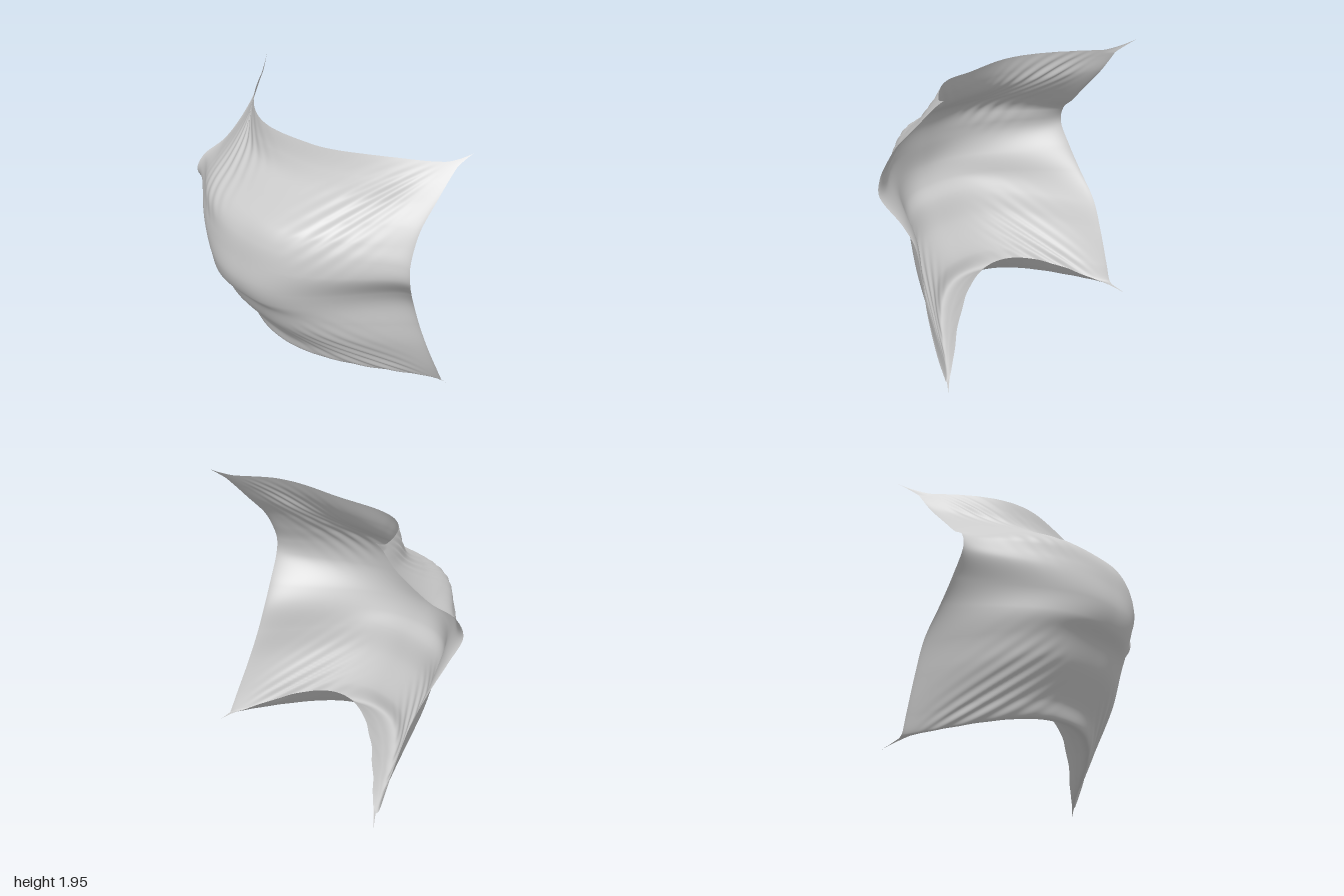
import * as THREE from 'three';

const { smoothstep, clamp, lerp } = THREE.MathUtils;

// Rows of the sheet from lower hem to upper hem:
// centre y, z | right edge x, y, z (-x side) | left edge x, y, z (+x side)
const ROWS = [
  [0.44, -0.09, -0.89, 0.08, -0.5, 0.925, 0.055, -0.52],
  [0.33, 0.05, -0.9, 0.085, -0.485, 0.93, 0.06, -0.51],
  [0.27, 0.18, -0.9, 0.1, -0.47, 0.93, 0.08, -0.5],
  [0.38, 0.22, -0.91, 0.22, -0.43, 0.93, 0.21, -0.44],
  [0.6, 0.37, -0.93, 0.46, -0.35, 0.91, 0.46, -0.34],
  [0.77, 0.45, -0.95, 0.68, -0.26, 0.885, 0.68, -0.27],
  [0.87, 0.53, -0.96, 0.88, -0.12, 0.875, 0.88, -0.21],
  [1.0, 0.57, -0.98, 1.04, 0.0, 0.91, 1.02, -0.14],
  [1.17, 0.55, -1.0, 1.2, 0.1, 0.995, 1.22, -0.02],
  [1.33, 0.51, -0.97, 1.32, 0.06, 0.985, 1.33, -0.02],
  [1.43, 0.44, -0.9, 1.43, -0.08, 0.965, 1.45, -0.07],
  [1.52, 0.28, -0.87, 1.55, -0.2, 0.95, 1.56, -0.14],
  [1.62, 0.12, -0.87, 1.7, -0.34, 0.94, 1.7, -0.28],
  [1.72, 0.05, -0.88, 1.81, -0.42, 0.935, 1.82, -0.4],
  [1.845, 0.0, -0.885, 1.87, -0.46, 0.935, 1.905, -0.49],
];

const curveOf = (pick) => new THREE.CatmullRomCurve3(ROWS.map((r) => new THREE.Vector3(...pick(r))));
const centre = curveOf((r) => [0, r[0], r[1]]);
const rightEdge = curveOf((r) => [r[2], r[3], r[4]]);
const leftEdge = curveOf((r) => [r[5], r[6], r[7]]);

// Tension folds running from the corners towards the belly
function folds(u, y) {
  const a = 1 - Math.abs(u); // distance from the side edge
  const b = Math.min(y, 1.95 - y); // distance from the nearer hem
  const r = Math.hypot(a, b);
  const angle = Math.atan2(b, a);
  const reach = smoothstep(r, 0.1, 0.4) * (1 - smoothstep(r, 0.55, 1.0));
  const fan = Math.exp(-(((angle - 0.75) / 0.3) ** 2));
  return 0.006 * reach * fan * Math.sin((a - b) * 40 - angle * 16 + u);
}

// How far a point at u across the sheet follows the centre line
function bulge(u, t) {
  const side = smoothstep(u, -0.3, 0.3);
  const belly = smoothstep(t, 0.35, 0.5) * (1 - smoothstep(t, 0.6, 0.72));
  const full = smoothstep(t, 0.1, 0.3);
  const q = lerp(2, lerp(3 - 0.6 * belly, 2.4, side), full);
  const eRight = 1.25 + 0.35 * belly - 0.2 * smoothstep(t, 0.8, 0.95);
  const eLeft = 1.3 + 0.35 * smoothstep(t, 0.3, 0.5) - 0.6 * smoothstep(t, 0.68, 0.92);
  return Math.pow(1 - Math.abs(u) ** q, lerp(eRight, eLeft, side));
}

function sheetPoint(u, t) {
  const l = rightEdge.getPoint(t);
  const r = leftEdge.getPoint(t);
  const c = centre.getPoint(t);
  const mid = l.clone().add(r).multiplyScalar(0.5);
  const p = l.lerp(r, (u + 1) / 2).addScaledVector(c.sub(mid), bulge(u, t));
  // slight sway and lift along the upper hem
  const top = smoothstep(t, 0.75, 1);
  p.z -= 0.05 * top * Math.sin(u * Math.PI) * (1 - u * u);
  p.y += 0.03 * top * smoothstep(u, 0.1, 0.6) * (1 - smoothstep(u, 0.65, 1));
  const f = folds(u, p.y);
  p.y += f * 0.5 * (p.y > 1 ? 1 : -1);
  p.z += f;
  // pinched corners drawn out into thin points
  const spike = smoothstep(Math.abs(u), 0.92, 1) * smoothstep(Math.abs(2 * t - 1), 0.93, 1);
  return p.lerp(new THREE.Vector3(Math.sign(u) * 0.97, t > 0.5 ? 1.95 : 0, -0.57), spike ** 2);
}

export function createModel() {
  const group = new THREE.Group();
  group.name = 'billowingCloth';

  // A flat grid draped over the cross-sections
  const geometry = new THREE.PlaneGeometry(2, 1, 220, 220);
  const pos = geometry.attributes.position;
  for (let i = 0; i < pos.count; i++) {
    const p = sheetPoint(clamp(pos.getX(i), -1, 1), clamp(pos.getY(i) + 0.5, 0, 1));
    pos.setXYZ(i, p.x, p.y, p.z);
  }
  geometry.computeVertexNormals();

  const cloth = new THREE.Mesh(
    geometry,
    new THREE.MeshStandardMaterial({ color: 0xcccccc, side: THREE.DoubleSide })
  );
  cloth.name = 'clothSheet';
  group.add(cloth);
  return group;
}
